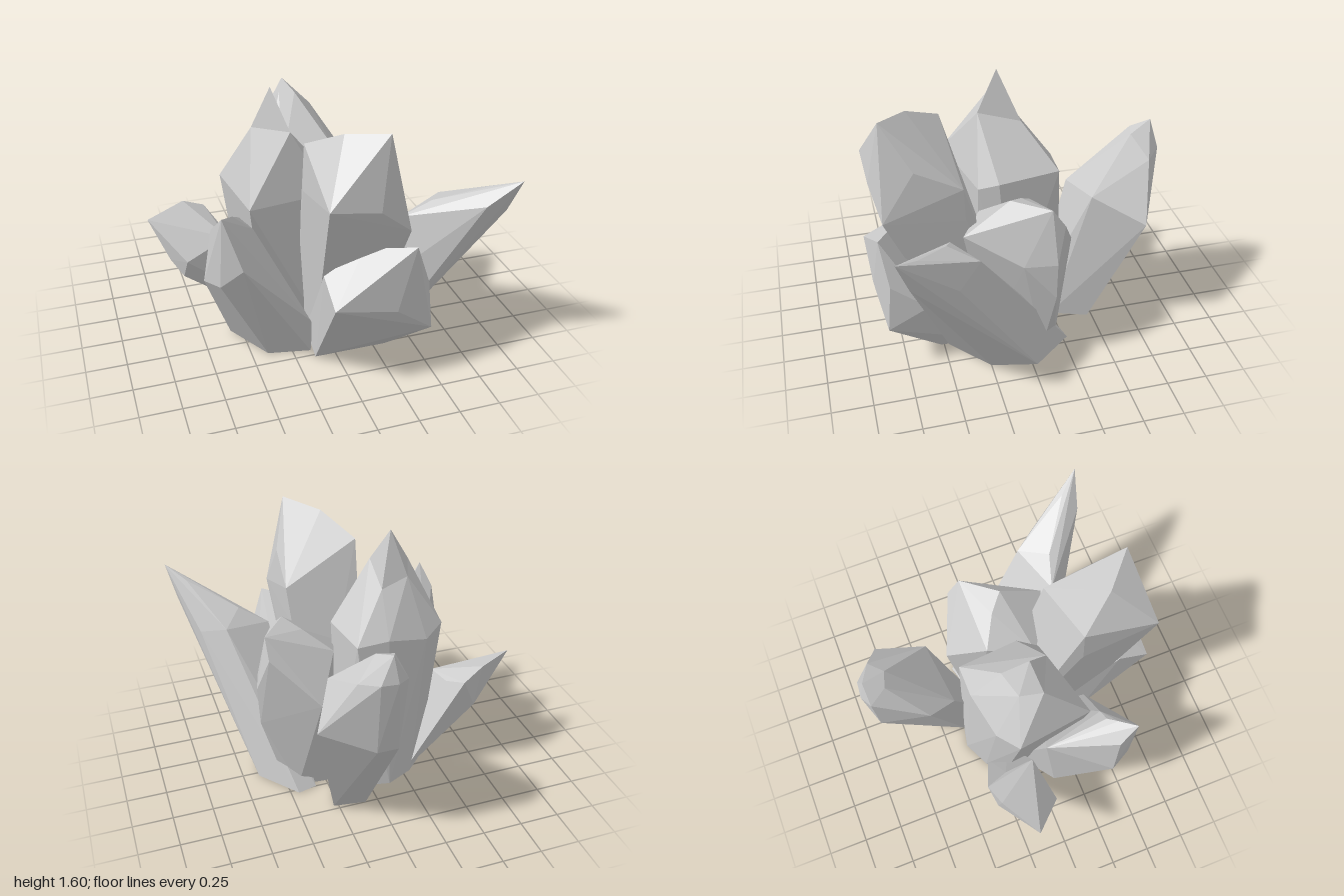
import * as THREE from 'three';
import { ConvexGeometry } from 'three/addons/geometries/ConvexGeometry.js';

const material = new THREE.MeshStandardMaterial({ color: 0xcccccc, flatShading: true, side: THREE.DoubleSide });

// One faceted crystal, open underneath: a foot outline [x, z] on the ground,
// then shoulder and tip corners [x, y, z].
function crystal(name, foot, shoulder, tip) {
  const points = [...foot.map(([x, z]) => [x, 0, z]), ...shoulder, ...tip].map((p) => new THREE.Vector3(...p));
  const hull = new ConvexGeometry(points).getAttribute('position').array;
  // keep every triangle that rises above the ground
  const kept = [];
  for (let i = 0; i < hull.length; i += 9) {
    if (Math.max(hull[i + 1], hull[i + 4], hull[i + 7]) > 0.001) kept.push(...hull.slice(i, i + 9));
  }
  const geometry = new THREE.BufferGeometry();
  geometry.setAttribute('position', new THREE.Float32BufferAttribute(kept, 3));
  geometry.computeVertexNormals();
  const mesh = new THREE.Mesh(geometry, material);
  mesh.name = name;
  return mesh;
}

export function createModel() {
  const group = new THREE.Group();
  group.name = 'crystalCluster';

  // tall upright crystal in the middle, with a steeper spike on top
  const spikeBase = [[-0.38, 1.38, 0.05], [-0.17, 1.36, 0.15], [-0.15, 1.28, -0.12], [-0.33, 1.32, -0.08]];
  group.add(crystal('centreCrystal',
    [[-0.4, -0.2], [-0.3, -0.3], [-0.13, -0.38], [-0.03, -0.36], [0.1, 0], [0, 0.2], [-0.35, 0.2]],
    [[-0.54, 1, -0.15], [-0.4, 0.96, -0.25], [-0.13, 1.03, -0.31], [0.07, 1.02, -0.31], [0.11, 1, 0.08],
      [0.05, 0.95, 0.2], [-0.47, 0.98, 0.33]],
    spikeBase));
  group.add(crystal('centreCrystalSpike', [], spikeBase, [[-0.25, 1.6, 0.01]]));

  // tall crystal leaning forward
  group.add(crystal('frontCrystal',
    [[-0.1, 0.4], [0.25, 0.4], [0.25, 0], [-0.1, 0]],
    [[-0.17, 1.2, 0.88], [0.13, 1.15, 0.87], [0.33, 0.98, 0.82], [0.32, 1.14, 0.34], [0.31, 0.92, 0.33], [-0.17, 1.1, 0.4]],
    [[-0.16, 1.39, 0.39], [0.3, 1.28, 0.62], [0, 1.52, 0.61], [0.2, 1.57, 0.79]]));

  // short broad crystal at the foot of the front
  group.add(crystal('lowFrontCrystal',
    [[-0.13, 0.52], [0.33, 0.52], [0.35, 0.2], [-0.1, 0.2]],
    [[-0.14, 0.59, 0.91], [0.24, 0.51, 0.9], [0.48, 0.32, 0.85], [0.48, 0.45, 0.6], [-0.14, 0.7, 0.7]],
    [[0.46, 0.62, 0.82], [0.1, 0.84, 0.7], [0.36, 0.89, 0.86]]));

  // long pointed crystal leaning out to the left front
  group.add(crystal('leftCrystal',
    [[0.34, 0.47], [0.59, 0.25], [0.65, -0.03], [0.45, -0.28], [0.33, -0.25]],
    [[0.42, 0.86, 0.45], [0.6, 0.97, 0.5], [0.72, 0.92, 0.33], [0.86, 0.85, 0.48], [0.46, 0.6, 0.55]],
    [[0.81, 1.03, 0.78], [0.95, 0.98, 0.76], [0.89, 1.12, 0.7], [1, 1.19, 0.83]]));

  // crystal leaning out to the right front
  group.add(crystal('rightCrystal',
    [[-0.57, 0.1], [-0.4, 0.4], [-0.14, 0.45], [-0.04, 0.2], [-0.3, -0.1]],
    [[-0.77, 0.6, 0.39], [-0.7, 0.62, 0.52], [-0.58, 0.75, 0.6], [-0.15, 0.25, 0.48], [-0.53, 0.75, 0.03], [-0.47, 0.9, 0.4]],
    [[-0.72, 0.95, 0.42], [-0.55, 0.99, 0.4], [-0.6, 1.03, 0.45], [-0.68, 1.07, 0.54]]));

  // small crystal lying out to the far right, tapering to a narrow foot
  group.add(crystal('smallRightCrystal',
    [[-0.28, -0.28], [-0.38, -0.14], [-0.25, -0.12]],
    [[-0.55, 0.62, -0.25], [-0.65, 0.25, -0.15], [-0.82, 0.38, -0.04], [-0.8, 0.5, 0], [-0.53, 0.6, -0.06], [-0.7, 0.48, -0.36]],
    [[-0.61, 0.68, -0.39], [-0.75, 0.75, -0.35], [-0.89, 0.48, -0.1], [-1, 0.73, -0.2]]));

  // blunt crystal leaning backward
  group.add(crystal('backCrystal',
    [[0, -0.35], [0.08, -0.5], [0.28, -0.47], [0.2, -0.24], [0.08, -0.14]],
    [[0.46, 0.8, -0.75], [0.3, 0.95, -0.45], [-0.07, 0.86, -0.4], [-0.13, 0.93, -0.57], [0.02, 0.68, -0.87], [0.15, 0.68, -0.87]],
    [[-0.02, 1.15, -0.88], [0.05, 1.15, -0.92], [0.15, 1.15, -0.91], [0.25, 1.13, -0.82], [0.12, 1.25, -0.74],
      [0.02, 1.25, -0.77], [0.07, 1.31, -0.88]]));

  // stubby crystal on the left between the tall ones
  group.add(crystal('innerLeftCrystal',
    [[0.3, 0.2], [0.5, -0.1], [0.43, -0.2], [0.2, -0.22], [0.1, 0.1]],
    [[0.64, 0.5, -0.14], [0.3, 0.67, -0.33], [0.6, 0.73, 0.05], [0.42, 0.88, 0.37], [0.06, 0.8, 0.2], [0.15, 0.9, -0.1], [0.65, 0.75, -0.14]],
    [[0.58, 0.97, -0.2], [0.32, 1.03, 0], [0.42, 1.09, 0.09], [0.58, 1.09, -0.12]]));

  return group;
}
